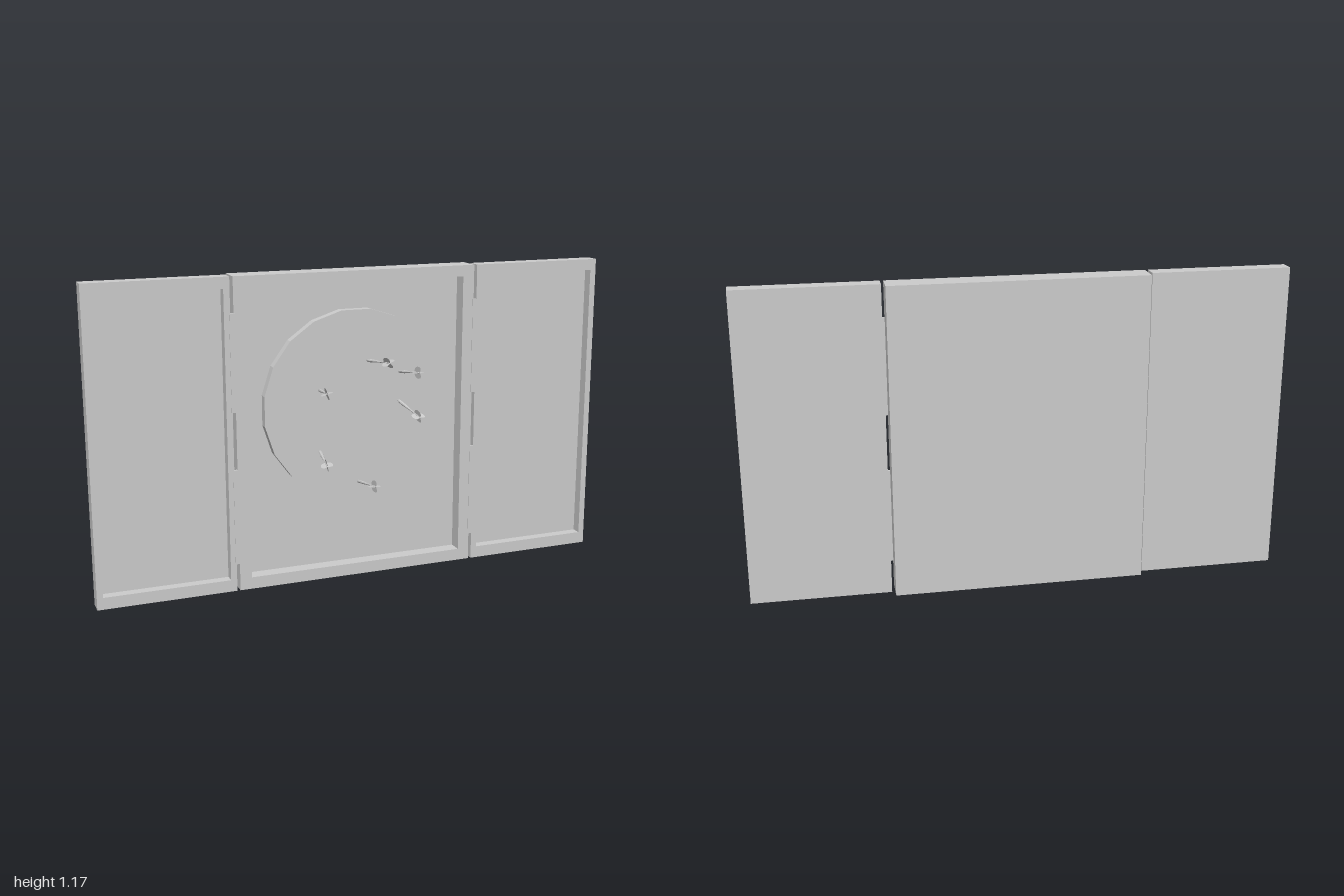
import * as THREE from 'three';

const HEIGHT = 1.17, FRONT = -0.037;
const mat = new THREE.MeshStandardMaterial({ color: 0xcccccc, flatShading: true });
const thin = new THREE.MeshStandardMaterial({ color: 0xcccccc, flatShading: true, side: THREE.DoubleSide });

function add(parent, name, geometry, material = mat) {
  const mesh = new THREE.Mesh(geometry, material);
  mesh.name = name;
  parent.add(mesh);
  return mesh;
}

function rectangle(Type, x0, y0, x1, y1) {
  return new Type([[x0, y0], [x1, y0], [x1, y1], [x0, y1]].map(([x, y]) => new THREE.Vector2(x, y)));
}

// Shallow open tray: a back panel with a rim standing in front of it
function tray(name, width, side, back, floor) {
  const group = new THREE.Group();
  group.name = name;
  const panel = add(group, name + 'Panel', new THREE.BoxGeometry(width, HEIGHT, floor - back));
  panel.position.set(0, HEIGHT / 2, (back + floor) / 2);
  const shape = rectangle(THREE.Shape, -width / 2, 0, width / 2, HEIGHT);
  shape.holes.push(rectangle(THREE.Path, -width / 2 + side, 0.045, width / 2 - side, HEIGHT - 0.042));
  const rim = add(group, name + 'Rim', new THREE.ExtrudeGeometry(shape, { depth: FRONT - floor, bevelEnabled: false }));
  rim.position.z = floor;
  return group;
}

// Dart along +z with its point at the origin
function dart(length, roll) {
  const group = new THREE.Group();
  group.name = 'dart';
  const profile = [[0, 0], [0.0025, 0.012], [0.006, 0.022], [0.006, 0.06], [0.003, 0.11], [0.003, length - 0.015], [0, length - 0.012]]
    .map(([r, y]) => new THREE.Vector2(r, y));
  const shaft = add(group, 'dartShaft', new THREE.LatheGeometry(profile, 8));
  shaft.rotation.x = Math.PI / 2;

  // Rounded flight fins
  const fin = new THREE.Shape();
  fin.moveTo(0, length - 0.055);
  fin.lineTo(0.015, length - 0.044);
  fin.quadraticCurveTo(0.023, length - 0.034, 0.022, length - 0.018);
  fin.quadraticCurveTo(0.021, length, 0.012, length);
  fin.lineTo(0, length - 0.007);
  const finGeometry = new THREE.ShapeGeometry(fin, 4).rotateX(Math.PI / 2);
  for (let i = 0; i < 4; i++) {
    add(group, 'dartFin', finGeometry, thin).rotation.z = roll + i * Math.PI / 2;
  }
  return group;
}

export function createModel() {
  const model = new THREE.Group();
  model.name = 'dartboardCabinet';

  model.add(tray('cabinet', 0.94, 0.045, -0.128, -0.091));

  // Open doors and their hinges
  for (const s of [-1, 1]) {
    const door = tray(s > 0 ? 'leftDoor' : 'rightDoor', 0.518, 0.023, -0.095, -0.075);
    door.position.x = s * 0.741;
    model.add(door);
    for (const y of [0.285, 0.86]) {
      const hinge = add(model, 'hinge', new THREE.BoxGeometry(0.02, 0.36, 0.012));
      hinge.position.set(s * 0.476, y, -0.041);
    }
  }

  // Round target board
  const board = add(model, 'board', new THREE.CylinderGeometry(0.361, 0.361, 0.036, 20).rotateY(Math.PI / 20).rotateX(Math.PI / 2));
  board.position.set(0, 0.667, -0.075);

  // Darts: tail x, y, then point x, y, and roll
  const darts = [
    [0.064, 0.852, 0.04, 0.831, 0.5],
    [0.181, 0.808, 0.17, 0.779, 0],
    [-0.178, 0.757, -0.145, 0.733, 0.3],
    [0.184, 0.638, 0.168, 0.672, 0.15],
    [-0.18, 0.489, -0.145, 0.502, 0.2],
    [0.01, 0.394, 0.004, 0.367, 0],
  ];
  for (const [tx, ty, px, py, roll] of darts) {
    const tip = new THREE.Vector3(px, py, -0.065);
    const tail = new THREE.Vector3(tx, ty, 0.126);
    const d = dart(tip.distanceTo(tail), roll);
    d.position.copy(tip);
    d.lookAt(tail);
    model.add(d);
  }
  return model;
}
